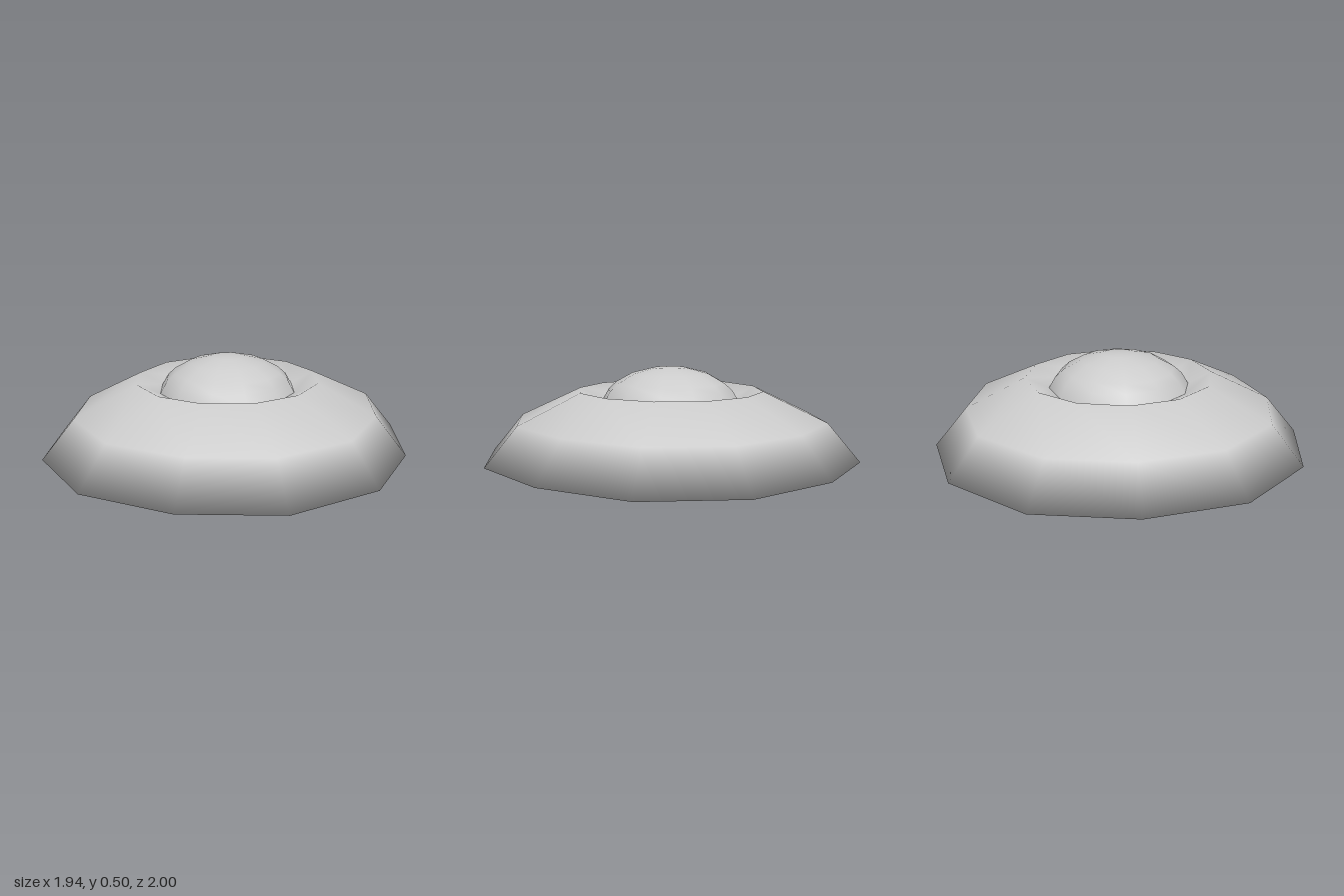
import * as THREE from 'three';
import { mergeVertices } from 'three/addons/utils/BufferGeometryUtils.js';

const SIDES = 12;

// Twelve-sided lathe, slightly narrower in x and squared off toward the rim
function spin(name, profile, material) {
  const points = profile.map(([r, y]) => new THREE.Vector2(r, y));
  let geometry = new THREE.LatheGeometry(points, SIDES);
  const pos = geometry.attributes.position;
  for (let i = 0; i < pos.count; i++) {
    const x = pos.getX(i), z = pos.getZ(i);
    const bulge = Math.hypot(x, z) > 0.6 ? 0.04 * Math.sin(2 * Math.atan2(x, z)) ** 2 : 0;
    pos.setX(i, x * 0.97 * (1 + bulge));
    pos.setZ(i, z * (1 + bulge));
  }
  // Weld the seam and poles so the shading is smooth all round
  geometry.deleteAttribute('uv');
  geometry.deleteAttribute('normal');
  geometry = mergeVertices(geometry, 1e-4);
  geometry.computeVertexNormals();
  const mesh = new THREE.Mesh(geometry, material);
  mesh.name = name;
  return mesh;
}

export function createModel() {
  const group = new THREE.Group();
  group.name = 'saucer';
  const grey = new THREE.MeshStandardMaterial({ color: 0xcccccc });

  // Hull: underside, rim, sloping top and the groove around the dome
  group.add(spin('hull', [
    [0, 0], [0.34, 0], [1, 0.015],
    [0.83, 0.22], [0.51, 0.38], [0.38, 0.32],
  ], grey));

  // Dome rising out of the groove
  group.add(spin('dome', [
    [0.38, 0.32], [0.345, 0.38], [0.3, 0.42], [0.21, 0.47], [0.09, 0.5], [0, 0.503],
  ], grey));

  return group;
}
